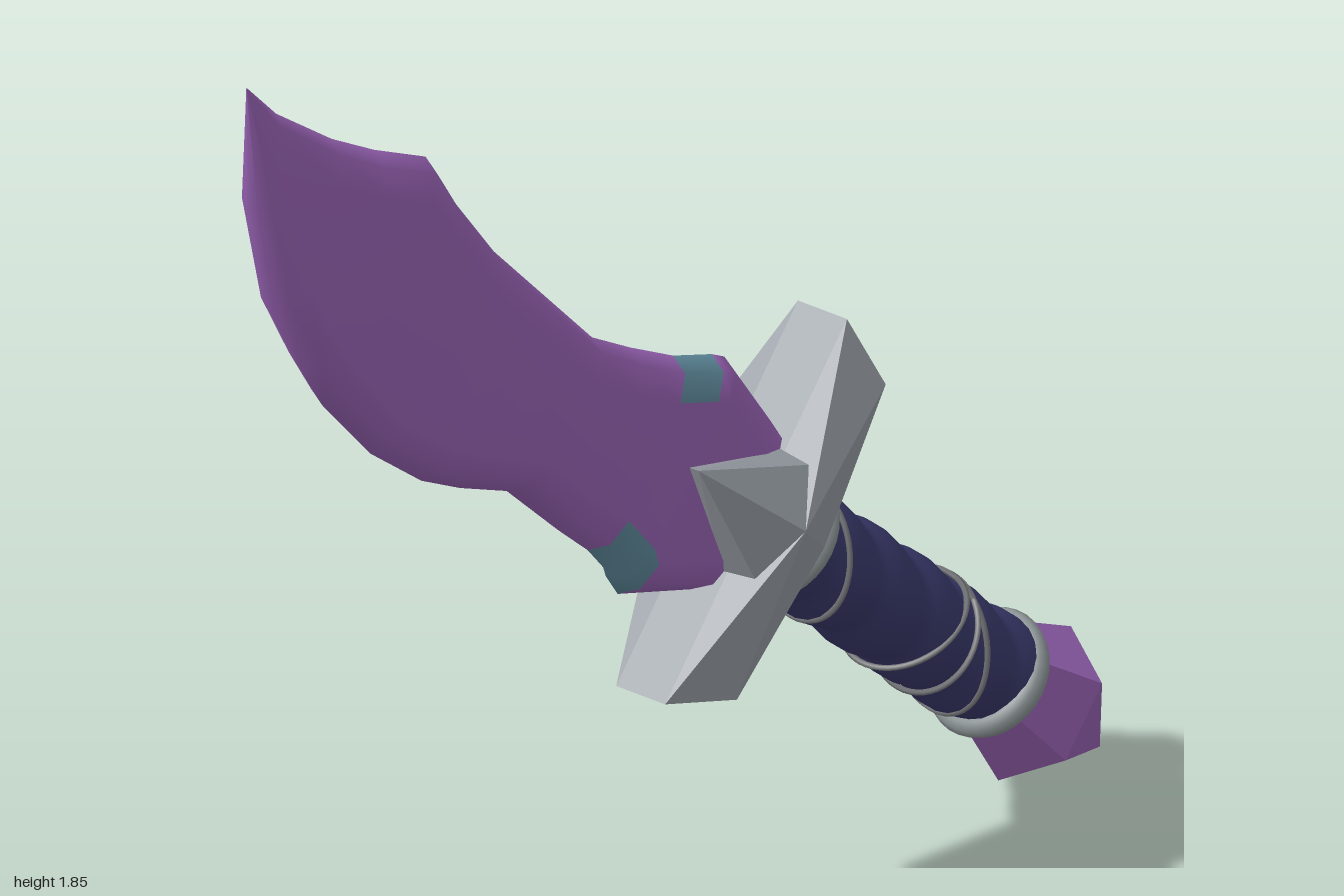
import * as THREE from 'three';
import { ConvexGeometry } from 'three/addons/geometries/ConvexGeometry.js';

const mat = (name, color, extra = {}) => {
  const m = new THREE.MeshStandardMaterial({ color, ...extra });
  m.name = name;
  return m;
};

export function createModel() {
  const purple = mat('purple', 0x9762b3);
  const gem = mat('gem purple', 0x9762b3, { flatShading: true });
  const teal = mat('teal', 0x5f8a9c);
  const steel = mat('steel', 0x949aa1, { flatShading: true });
  const ring = mat('ring grey', 0x8c9496);
  const navy = mat('navy wrap', 0x38386a);
  const wire = mat('wire grey', 0x6f7074);

  const model = new THREE.Group();
  model.name = 'curvedSword';
  const add = (parent, name, geometry, material) => {
    const mesh = new THREE.Mesh(geometry, material);
    mesh.name = name;
    parent.add(mesh);
    return mesh;
  };

  // Blade: sections of [spine z, spine y, edge z, edge y, half thickness]
  const sections = [
    [-0.24, 0.82, -0.06, 0.61, 0.05], [-0.12, 0.985, 0.13, 0.67, 0.05],
    [-0.09, 1.0, 0.14, 0.70, 0.05], [0, 1.03, 0.2, 0.77, 0.05],
    [0.1, 1.08, 0.27, 0.83, 0.05], [0.19, 1.13, 0.39, 0.94, 0.05],
    [0.3, 1.24, 0.5, 0.985, 0.05], [0.42, 1.36, 0.59, 1.03, 0.05],
    [0.53, 1.5, 0.71, 1.12, 0.05], [0.58, 1.58, 0.82, 1.24, 0.05],
    [0.7, 1.635, 0.87, 1.32, 0.05], [0.8, 1.69, 0.94, 1.44, 0.044],
    [0.93, 1.78, 1.0, 1.64, 0.022], [1.0, 1.85, 1.0, 1.85, 0],
  ];
  const N = 10;
  const pos = [];
  for (const [sz, sy, ez, ey, h] of sections) {
    const len = Math.hypot(ez - sz, ey - sy) || 1;
    const inner = Math.min(0.065 / len, 0.35), mid = inner * 0.3;
    // [position from spine to edge, sideways offset]
    const loop = [[0, 0], [mid, 0.7], [inner, 1], [1 - inner, 1], [1 - mid, 0.7],
      [1, 0], [1 - mid, -0.7], [1 - inner, -1], [inner, -1], [mid, -0.7]];
    for (const [t, x] of loop) pos.push(x * h, sy + (ey - sy) * t, sz + (ez - sz) * t);
  }
  const plain = [], tinted = [];
  for (let i = 0; i < sections.length - 1; i++) {
    for (let j = 0; j < N; j++) {
      const a = i * N + j, b = i * N + (j + 1) % N;
      const spinePatch = i === 2 && [0, 1, 8, 9].includes(j);
      const edgePatch = (i === 1 || i === 2) && j >= 3 && j <= 6;
      (spinePatch || edgePatch ? tinted : plain).push(a, a + N, b, a + N, b + N, b);
    }
  }
  const bladeGeo = new THREE.BufferGeometry();
  bladeGeo.setAttribute('position', new THREE.Float32BufferAttribute(pos, 3));
  bladeGeo.setIndex([...plain, ...tinted]);
  bladeGeo.addGroup(0, plain.length, 0);
  bladeGeo.addGroup(plain.length, tinted.length, 1);
  bladeGeo.computeVertexNormals();
  add(model, 'blade', bladeGeo, [purple, teal]);

  // Hilt: local y runs from the pommel point towards the blade
  const hilt = new THREE.Group();
  hilt.name = 'hilt';
  hilt.position.z = -1;
  hilt.rotation.x = 0.869;
  model.add(hilt);

  // Pommel: six-sided gem
  const point = add(hilt, 'pommelPoint', new THREE.CylinderGeometry(0.132, 0, 0.2, 6, 1, true), gem);
  point.position.y = 0.1;
  const crown = add(hilt, 'pommelCrown', new THREE.CylinderGeometry(0.09, 0.132, 0.14, 6), gem);
  crown.position.y = 0.27;
  point.scale.x = crown.scale.x = 0.88;

  // Grip: slanted, overlapping wrap
  const gripGeo = new THREE.CylinderGeometry(1, 1, 0.68, 24, 48, true);
  const gp = gripGeo.attributes.position;
  for (let i = 0; i < gp.count; i++) {
    const x = gp.getX(i), y = gp.getY(i), z = gp.getZ(i);
    const r = 0.083 + 0.013 * Math.abs(Math.sin((y + 0.04 * z + 0.02 * x) * 23));
    gp.setXYZ(i, x * r * 1.04, y, z * r);
  }
  gripGeo.computeVertexNormals();
  add(hilt, 'grip', gripGeo, navy).position.y = 0.68;

  // Rings at both ends of the grip
  for (const [name, y, r] of [['pommelRing', 0.344, 0.083], ['guardRing', 1.0, 0.09]]) {
    const torus = add(hilt, name, new THREE.TorusGeometry(r, 0.024, 10, 32), ring);
    torus.rotation.x = Math.PI / 2;
    torus.position.y = y;
  }

  // Wires wound at a slant: [height at back, height at front]
  for (const [back, front] of [[0.98, 0.85], [0.56, 0.635], [0.565, 0.42], [0.55, 0.52]]) {
    const pts = [];
    for (let k = 0; k < 16; k++) {
      const t = k / 16 * Math.PI * 2, s = Math.sin(t);
      pts.push(new THREE.Vector3(0.099 * Math.cos(t), (back + front) / 2 + (front - back) / 2 * s, 0.095 * s));
    }
    const path = new THREE.CatmullRomCurve3(pts, true);
    add(hilt, 'gripWire', new THREE.TubeGeometry(path, 48, 0.005, 5, true), wire);
  }

  // Guard: faceted crosspiece with a spike on each side of the blade
  const hull = (list) => new ConvexGeometry(list.map((p) => new THREE.Vector3(...p)));
  const cross = [];
  for (const x of [-1, 1]) {
    cross.push([0.12 * x, 1.025, 0], [0.145 * x, 1.12, 0]);
    for (const z of [-1, 1]) cross.push([0.095 * x, 1.028, 0.27 * z], [0.05 * x, 1.13, 0.33 * z]);
  }
  add(hilt, 'guard', hull(cross), steel);
  for (const x of [-1, 1]) {
    add(hilt, 'guardSpike', hull([
      [0.045 * x, 1.334, 0], [0.068 * x, 1.334, 0], [0.145 * x, 1.12, 0], [0.03 * x, 1.12, 0],
      [0.04 * x, 1.12, 0.11], [0.04 * x, 1.12, -0.11], [0.1 * x, 1.12, 0.1], [0.1 * x, 1.12, -0.1],
    ]), steel);
  }

  return model;
}
